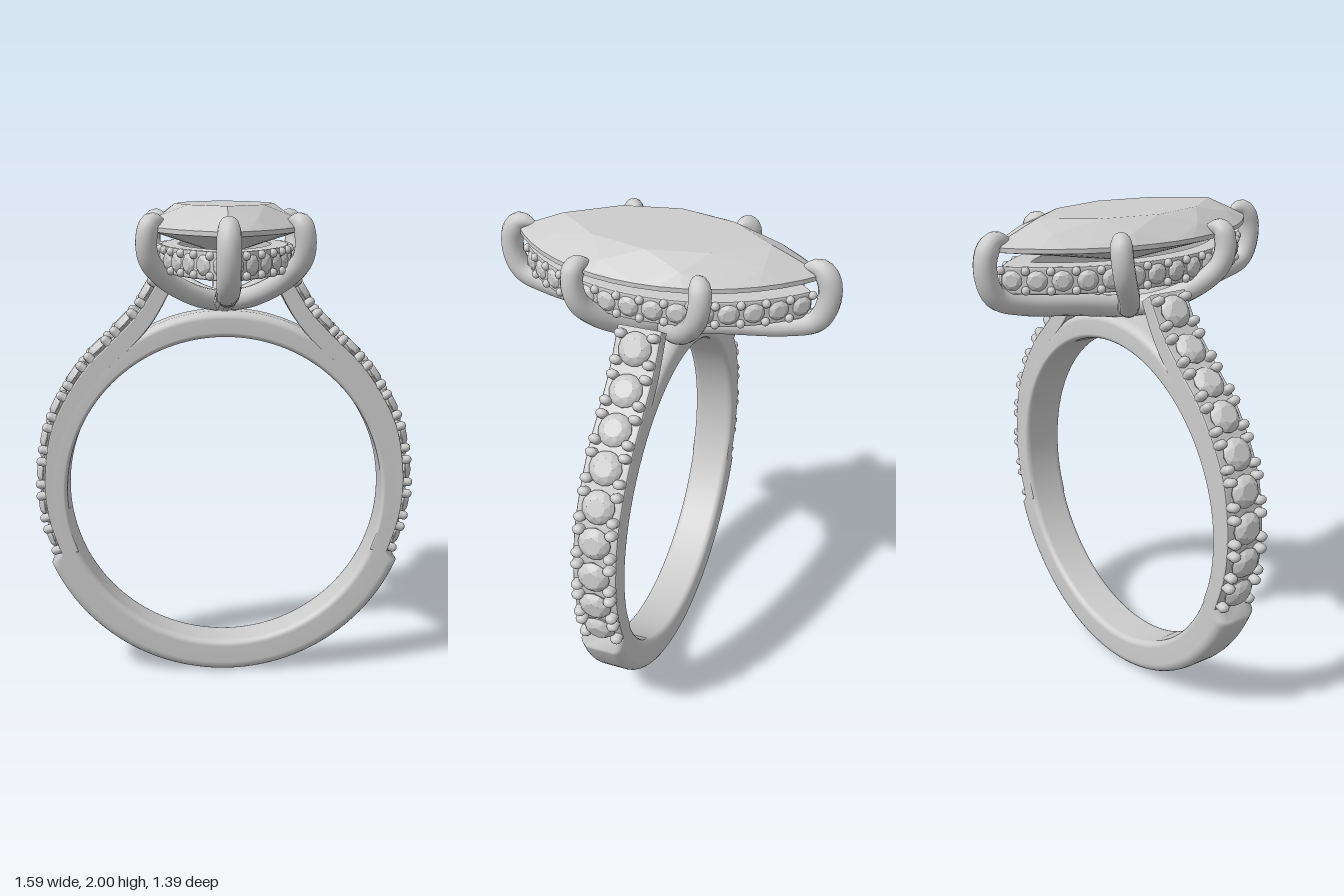
import * as THREE from 'three';
import { mergeVertices } from 'three/addons/utils/BufferGeometryUtils.js';
import { ConvexGeometry } from 'three/addons/geometries/ConvexGeometry.js';

const V = (x, y, z) => new THREE.Vector3(x, y, z);
const UP = V(0, 1, 0);

// Weld a deformed geometry so its shading is smooth across seams
function smooth(geo) {
  geo.deleteAttribute('uv');
  geo.deleteAttribute('normal');
  const g = mergeVertices(geo, 1e-4);
  g.computeVertexNormals();
  return g;
}

// Point and outward direction on a pointed oval made of two arcs; u runs 0..2
function marquise(a, L, u) {
  u = (u + 2) % 2;
  const side = u < 1 ? 1 : -1;
  const R = (a * a + L * L) / (2 * a), limit = Math.asin(L / R);
  const t = (2 * (u % 1) - 1) * limit * side;
  return {
    x: side * (R * Math.cos(t) - (R - a)), z: R * Math.sin(t),
    normal: V(side * Math.cos(t), 0, Math.sin(t)),
  };
}

function marquisePath(a, L, Type) {
  const pts = [];
  for (let i = 0; i < 64; i++) {
    const p = marquise(a, L, i / 32);
    pts.push(new THREE.Vector2(p.x, p.z));
  }
  return new Type(pts);
}

// Small round faceted stone, table at y = 0
function roundGem(r) {
  const pts = [V(0, -r * 1.2, 0)];
  for (const [k, y, offset] of [[0.55, 0, 0], [0.83, -0.17, 0.5], [1, -0.4, 0], [1, -0.4, 0.5], [1, -0.48, 0]]) {
    for (let i = 0; i < 8; i++) {
      const a = (i + offset) * Math.PI / 4;
      pts.push(V(Math.cos(a) * r * k, y * r, Math.sin(a) * r * k));
    }
  }
  return new ConvexGeometry(pts);
}

// Large pointed oval stone
function centreGem() {
  const pts = [V(0, 1.79, 0)];
  for (const [a, L, y, n, offset] of [
    [0.2, 0.42, 2, 8, 0], [0.272, 0.53, 1.958, 8, 0.5],
    [0.31, 0.62, 1.914, 32, 0], [0.31, 0.62, 1.896, 32, 0], [0.1, 0.2, 1.838, 8, 0.5],
  ]) {
    for (let i = 0; i < n; i++) {
      const p = marquise(a, L, (i + offset) * 2 / n);
      pts.push(V(p.x, y, p.z));
    }
  }
  return new ConvexGeometry(pts);
}

// Claw: round wire that narrows to its tip
function clawGeometry(points, radius) {
  const path = new THREE.CatmullRomCurve3(points);
  const steps = 48, sides = 14;
  const geo = new THREE.TubeGeometry(path, steps, radius, sides);
  const pos = geo.attributes.position, v = V();
  for (let i = 0; i <= steps; i++) {
    const c = path.getPointAt(i / steps);
    const q = Math.max(0, (i / steps - 0.86) / 0.14);
    const k = Math.max(0.04, 1 - Math.pow(q, 1.8));
    for (let j = 0; j <= sides; j++) {
      const id = i * (sides + 1) + j;
      v.fromBufferAttribute(pos, id).sub(c).multiplyScalar(k).add(c);
      pos.setXYZ(id, v.x, v.y, v.z);
    }
  }
  return smooth(geo);
}

// Band: rounded profile turned round the finger, thinner where the shoulders cover it
function bandGeometry() {
  const w = 0.09, inner = 0.663, outer = 0.8, profile = [];
  const corner = (cx, cz, r, start) => {
    for (let i = 0; i <= 5; i++) {
      const a = start + i / 5 * Math.PI / 2;
      profile.push(new THREE.Vector2(cx + r * Math.cos(a), cz + r * Math.sin(a)));
    }
  };
  corner(outer - 0.04, -w + 0.04, 0.04, -Math.PI / 2);
  corner(outer - 0.04, w - 0.04, 0.04, 0);
  corner(inner + 0.025, w - 0.025, 0.025, Math.PI / 2);
  corner(inner + 0.025, -w + 0.025, 0.025, Math.PI);
  profile.push(profile[0].clone());
  const geo = new THREE.LatheGeometry(profile, 160);
  geo.rotateX(Math.PI / 2);
  const pos = geo.attributes.position;
  for (let i = 0; i < pos.count; i++) {
    const x = pos.getX(i), y = pos.getY(i), r = Math.hypot(x, y), up = y / r;
    let target = outer;
    if (up > -0.36) target = 0.745 + 0.025 * THREE.MathUtils.smoothstep(up, 0.7, 1);
    const nr = inner + (r - inner) * (target - inner) / (outer - inner);
    pos.setXY(i, x * nr / r, y * nr / r);
  }
  geo.translate(0, 0.8, 0);
  return smooth(geo);
}

export function createModel() {
  const model = new THREE.Group();
  const silver = new THREE.MeshStandardMaterial({ color: 0xcccccc });
  silver.name = 'silver grey';
  const add = (parent, name, geo) => {
    const m = new THREE.Mesh(geo, silver);
    m.name = name;
    parent.add(m);
    return m;
  };

  add(model, 'band', bandGeometry());

  // Shoulders: rising bars with nine stones each, held by corner posts
  const edge = new THREE.CatmullRomCurve3([
    [0.73, 0.52], [0.775, 0.66], [0.795, 0.8], [0.788, 0.95], [0.757, 1.1],
    [0.69, 1.24], [0.6, 1.37], [0.49, 1.48], [0.385, 1.59], [0.3, 1.725],
  ].map(([x, y]) => V(x, y, 0)));
  const onEdge = (t, depth, side) => {
    const p = edge.getPointAt(t), d = edge.getTangentAt(t);
    return {
      x: side * (p.x - d.y * depth), y: p.y + d.x * depth,
      angle: Math.atan2(-side * d.y, -d.x),
    };
  };
  const length = edge.getLength(), count = 9;
  const shoulderGem = roundGem(0.066);
  const post = new THREE.CapsuleGeometry(0.019, 0.045, 5, 10);
  for (const side of [1, -1]) {
    const shoulder = new THREE.Group();
    shoulder.name = side > 0 ? 'leftShoulder' : 'rightShoulder';
    model.add(shoulder);
    const outline = [];
    for (let i = 0; i <= 48; i++) outline.push(onEdge(i / 48, 0.046, side));
    for (let i = 48; i >= 0; i--) outline.push(onEdge(i / 48, i > 36 ? 0.115 - (i - 36) * 0.0015 : 0.108, side));
    const bar = new THREE.ExtrudeGeometry(new THREE.Shape(outline.map(p => new THREE.Vector2(p.x, p.y))), {
      depth: 0.16, bevelThickness: 0.01, bevelSize: 0.006, bevelSegments: 2,
    });
    bar.translate(0, 0, -0.08);
    add(shoulder, 'shoulderBar', bar);
    for (let i = 0; i < count; i++) {
      const t = (i + 0.5) / count, g = onEdge(t, 0.002, side);
      const gem = add(shoulder, 'shoulderStone', shoulderGem);
      gem.position.set(g.x, g.y, 0);
      gem.rotation.z = g.angle;
      for (const along of [-0.05, 0.05]) for (const z of [-0.066, 0.066]) {
        const p = onEdge(t + along / length, 0.042, side);
        const m = add(shoulder, 'stonePost', post);
        m.position.set(p.x, p.y, z);
        m.rotation.z = p.angle;
        m.scale.z = 1.25;
      }
    }
  }

  // Halo: pointed oval gallery rail with stones facing outward
  const halo = new THREE.Group();
  halo.name = 'halo';
  model.add(halo);
  const railShape = marquisePath(0.255, 0.575, THREE.Shape);
  railShape.holes.push(marquisePath(0.19, 0.46, THREE.Path));
  const rail = new THREE.ExtrudeGeometry(railShape, {
    depth: 0.09, bevelThickness: 0.008, bevelSize: 0.006, bevelSegments: 2,
  });
  rail.rotateX(-Math.PI / 2).translate(0, 1.742, 0);
  add(halo, 'haloRail', rail);
  const haloGem = roundGem(0.043), bead = new THREE.SphereGeometry(0.017, 10, 8);
  const perSide = 14;
  for (let i = 0; i < perSide * 2; i++) {
    const p = marquise(0.275, 0.597, (i + 0.5) / perSide);
    const gem = add(halo, 'haloStone', haloGem);
    gem.position.set(p.x, 1.787, p.z);
    gem.quaternion.setFromUnitVectors(UP, p.normal);
    const b = marquise(0.265, 0.587, i / perSide);
    for (const y of [1.75, 1.824]) add(halo, 'haloBead', bead).position.set(b.x, y, b.z);
  }

  add(model, 'centreStone', centreGem());

  // Claws: one at each point of the stone and four along its sides
  const tipPath = [[0, 1.6], [0.25, 1.645], [0.5, 1.685], [0.61, 1.725], [0.648, 1.8], [0.645, 1.89], [0.608, 1.938], [0.53, 1.93]];
  const sidePath = [[0, 1.6, 0], [0.12, 1.635, 0.08], [0.24, 1.71, 0.17], [0.3, 1.79, 0.23], [0.309, 1.87, 0.25], [0.29, 1.932, 0.242], [0.235, 1.938, 0.202]];
  for (const sz of [1, -1]) {
    add(model, 'endClaw', clawGeometry(tipPath.map(([z, y]) => V(0, y, z * sz)), 0.045));
    for (const sx of [1, -1]) {
      add(model, 'sideClaw', clawGeometry(sidePath.map(([x, y, z]) => V(x * sx, y, z * sz)), 0.043));
    }
  }
  return model;
}
